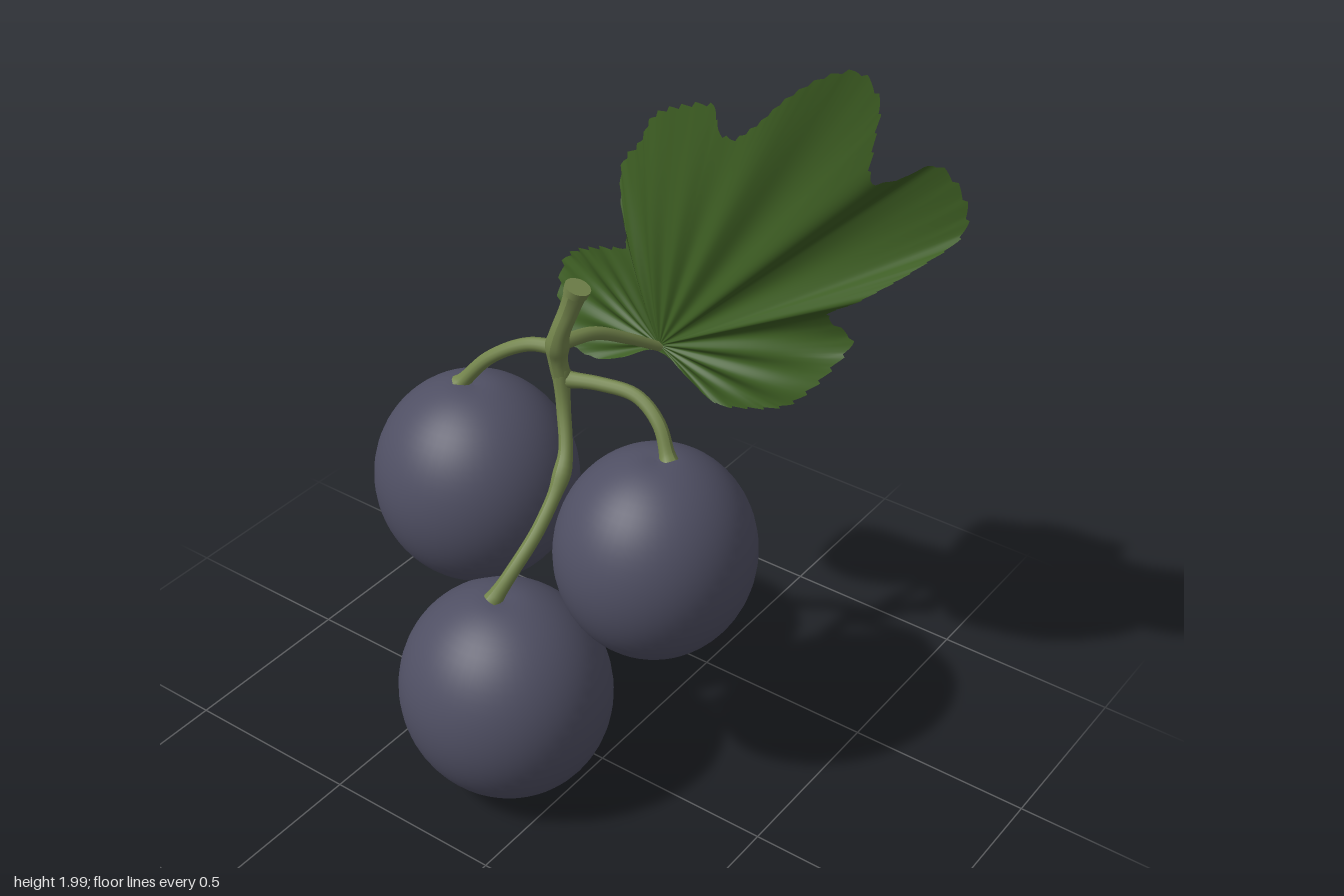
import * as THREE from 'three';

const V = (p) => new THREE.Vector3(...p);

export function createModel() {
  const model = new THREE.Group();
  const grapeSkin = new THREE.MeshStandardMaterial({ color: 0x4f4f63 });
  grapeSkin.name = 'grapeSkin';
  const stemGreen = new THREE.MeshStandardMaterial({ color: 0x72834b });
  stemGreen.name = 'stemGreen';
  const leafGreen = new THREE.MeshStandardMaterial({ color: 0x3c5c22, side: THREE.DoubleSide });
  leafGreen.name = 'leafGreen';

  const add = (name, geometry, material) => {
    const mesh = new THREE.Mesh(geometry, material);
    mesh.name = name;
    model.add(mesh);
    return mesh;
  };

  // Grapes: slightly tall spheres with a small dimple at the stem
  const grape = (name, center, radii) => {
    const g = new THREE.SphereGeometry(1, 48, 32);
    const p = g.attributes.position;
    for (let i = 0; i < p.count; i++) {
      const r = Math.hypot(p.getX(i), p.getZ(i));
      if (p.getY(i) > 0) p.setY(i, p.getY(i) - 0.03 * Math.exp(-r * r * 60));
    }
    g.scale(...radii);
    g.computeVertexNormals();
    add(name, g, grapeSkin).position.set(...center);
  };
  grape('grapeRight', [-0.43, 0.745, -0.03], [0.272, 0.286, 0.265]);
  grape('grapeLeft', [0.103, 0.702, -0.085], [0.258, 0.284, 0.265]);
  grape('grapeFront', [-0.17, 0.303, 0.192], [0.285, 0.298, 0.272]);

  // Stems: tubes whose radius follows a rule along the length
  const stem = (name, points, radiusAt) => {
    const curve = new THREE.CatmullRomCurve3(points.map(V));
    const rings = 36, sides = 12;
    const g = new THREE.TubeGeometry(curve, rings, 1, sides);
    const p = g.attributes.position;
    const v = new THREE.Vector3();
    for (let i = 0; i < p.count; i++) {
      const t = Math.floor(i / (sides + 1)) / rings;
      const c = curve.getPointAt(t);
      v.fromBufferAttribute(p, i).sub(c).multiplyScalar(radiusAt(t)).add(c);
      p.setXYZ(i, v.x, v.y, v.z);
    }
    g.computeVertexNormals();
    add(name, g, stemGreen);
    return curve;
  };
  // Stalks swell at the joint and flare into a collar on the grape
  const stalk = (t) => 0.018 + 0.008 * Math.exp(-t * 14) + 0.008 * Math.exp(-(1 - t) * 22);

  const main = stem('mainStem', [
    [-0.155, 1.36, -0.103], [-0.175, 1.3, -0.098], [-0.195, 1.23, -0.084],
    [-0.208, 1.16, -0.092], [-0.198, 1.07, -0.105],
  ], (t) => 0.025 + 0.007 * Math.exp(-t * 12) + 0.006 * Math.exp(-(((t - 0.58) / 0.1) ** 2)));
  stem('stalkFront', [
    [-0.205, 1.12, -0.1], [-0.185, 1.02, -0.085], [-0.142, 0.9, -0.03],
    [-0.14, 0.77, 0.07], [-0.165, 0.66, 0.165], [-0.19, 0.59, 0.21],
  ], (t) => stalk(t) + 0.006 * Math.exp(-(((t - 0.42) / 0.06) ** 2)));
  stem('stalkRight', [
    [-0.2, 1.18, -0.1], [-0.29, 1.17, -0.08], [-0.39, 1.11, -0.05], [-0.47, 1.015, -0.022],
  ], stalk);
  stem('stalkLeft', [
    [-0.2, 1.09, -0.105], [-0.1, 1.1, -0.128], [0, 1.095, -0.142], [0.075, 1.05, -0.13], [0.122, 0.97, -0.108],
  ], stalk);
  stem('leafStalk', [
    [-0.2, 1.2, -0.09], [-0.175, 1.185, -0.2], [-0.14, 1.14, -0.29], [-0.1, 1.085, -0.38],
  ], (t) => 0.02 - 0.007 * t);

  // Cut end of the main stem
  const tip = add('stemEnd', new THREE.CylinderGeometry(0.034, 0.031, 0.022, 14), stemGreen);
  tip.position.copy(main.getPointAt(0));
  tip.quaternion.setFromUnitVectors(new THREE.Vector3(0, 1, 0), main.getTangentAt(0).negate());

  // Leaf: lobed, toothed outline joined to its base by concentric rings
  const base = V([-0.1, 1.09, -0.378]);
  const edge = new THREE.CatmullRomCurve3([
    [-0.08, 1.07, -0.375], [0.0, 1.04, -0.36], [0.09, 0.995, -0.36], [0.17, 1.01, -0.365],
    [0.29, 1.06, -0.37], [0.355, 1.13, -0.38], [0.4, 1.2, -0.4], [0.43, 1.27, -0.43],
    [0.375, 1.33, -0.4], [0.48, 1.43, -0.365], [0.61, 1.55, -0.4], [0.685, 1.64, -0.445],
    [0.68, 1.72, -0.445], [0.61, 1.795, -0.425], [0.54, 1.755, -0.39], [0.485, 1.74, -0.365],
    [0.485, 1.84, -0.36], [0.49, 1.94, -0.36], [0.44, 1.995, -0.36], [0.36, 1.97, -0.355],
    [0.26, 1.89, -0.352], [0.17, 1.79, -0.36], [0.09, 1.725, -0.38], [0.05, 1.735, -0.39],
    [0.03, 1.785, -0.4], [-0.07, 1.755, -0.41], [-0.17, 1.69, -0.435], [-0.22, 1.6, -0.45],
    [-0.28, 1.52, -0.46], [-0.265, 1.42, -0.435], [-0.225, 1.33, -0.4], [-0.3, 1.3, -0.4],
    [-0.41, 1.24, -0.43], [-0.455, 1.19, -0.44], [-0.45, 1.11, -0.41], [-0.39, 1.02, -0.36],
    [-0.29, 1.0, -0.345], [-0.2, 1.03, -0.35], [-0.125, 1.07, -0.372],
  ].map(V), true, 'centripetal');
  const around = 400, rings = 14, teeth = 80;
  const pos = [], index = [];
  for (let j = 0; j <= rings; j++) {
    const t = j / rings;
    for (let i = 0; i <= around; i++) {
      const e = edge.getPointAt((i % around) / around);
      const dx = e.x - base.x, dy = e.y - base.y;
      const reach = Math.hypot(dx, dy);
      const tooth = (i * teeth / around) % 1;
      const s = t * (1 + Math.min(0.016 / reach, 0.05) * (tooth - 0.5) * t ** 6);
      // Shallow folds fan out from the base like veins
      const fold = 0.008 * Math.cos(Math.atan2(dy, dx) * 22) * Math.sin(Math.PI * Math.min(t * 0.95, 1)) * Math.min(1, reach * 2);
      pos.push(base.x + dx * s, base.y + dy * s, base.z + (e.z - base.z) * t ** 1.7 + fold);
      if (j < rings && i < around) {
        const a = j * (around + 1) + i, b = a + around + 1;
        index.push(a, b, b + 1, a, b + 1, a + 1);
      }
    }
  }
  const leaf = new THREE.BufferGeometry();
  leaf.setAttribute('position', new THREE.Float32BufferAttribute(pos, 3));
  leaf.setIndex(index);
  leaf.computeVertexNormals();
  add('leaf', leaf, leafGreen);

  return model;
}
